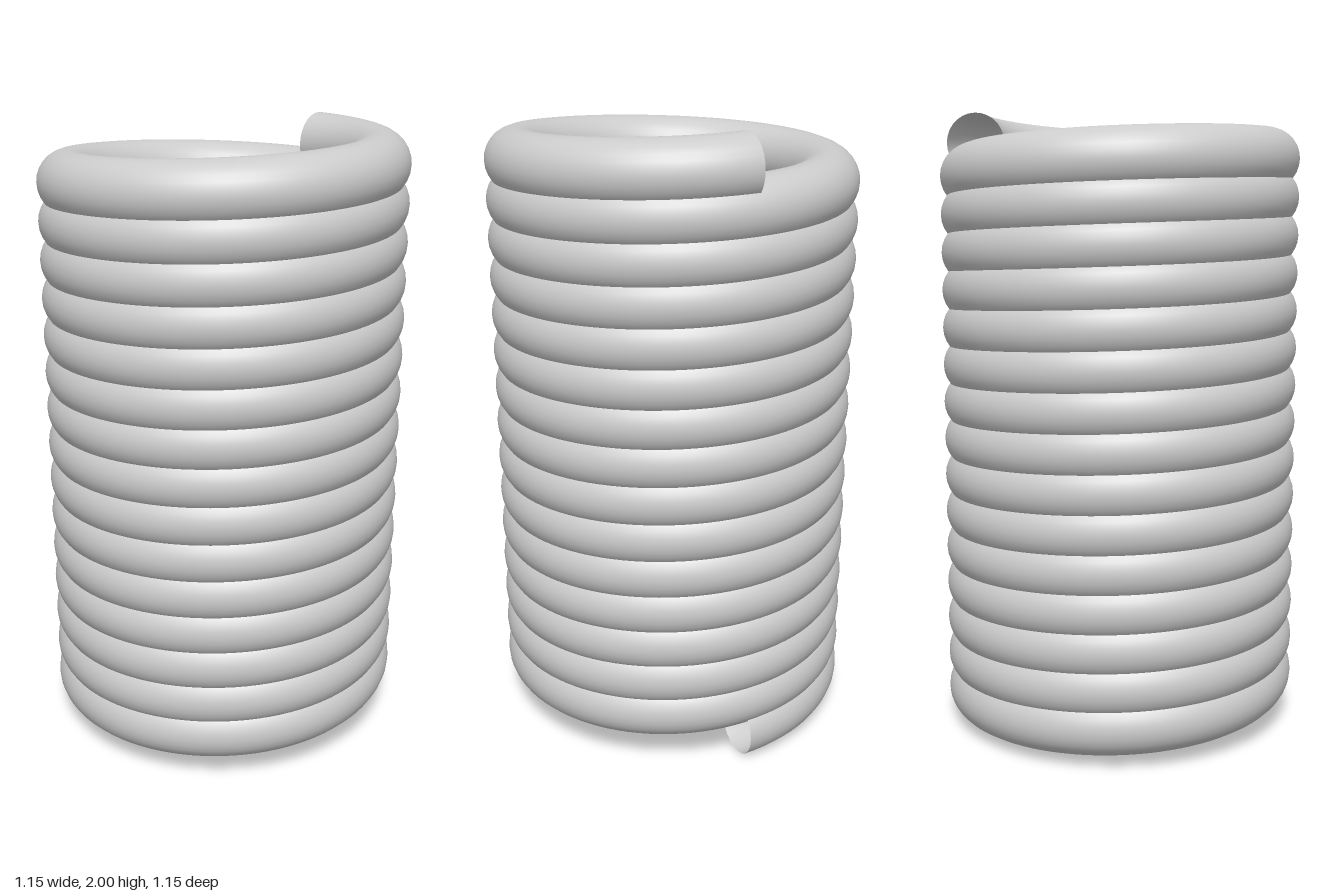
import * as THREE from 'three';
import { ParametricGeometry } from 'three/addons/geometries/ParametricGeometry.js';

const TURNS = 15;
const COIL_RADIUS = 0.48;
const WIRE_RADIUS = 0.0975;
const PITCH = (2 - 2 * WIRE_RADIUS) / TURNS;

export function createModel() {
  const group = new THREE.Group();
  group.name = 'coilSpring';

  // Round wire swept along a rising helix; u follows the coil, v goes round the wire
  const sweep = (u, v, target) => {
    const turn = u * TURNS;
    const a = turn * Math.PI * 2;
    const b = v * Math.PI * 2;
    const r = COIL_RADIUS + WIRE_RADIUS * Math.cos(b);
    const y = WIRE_RADIUS + PITCH * turn + WIRE_RADIUS * Math.sin(b);
    target.set(r * Math.cos(a), y, -r * Math.sin(a));
  };

  // The wire is a hollow tube, open at both ends
  const coil = new THREE.Mesh(
    new ParametricGeometry(sweep, TURNS * 96, 28),
    new THREE.MeshStandardMaterial({ color: 0xcccccc, side: THREE.DoubleSide })
  );
  coil.name = 'coil';
  group.add(coil);
  return group;
}
